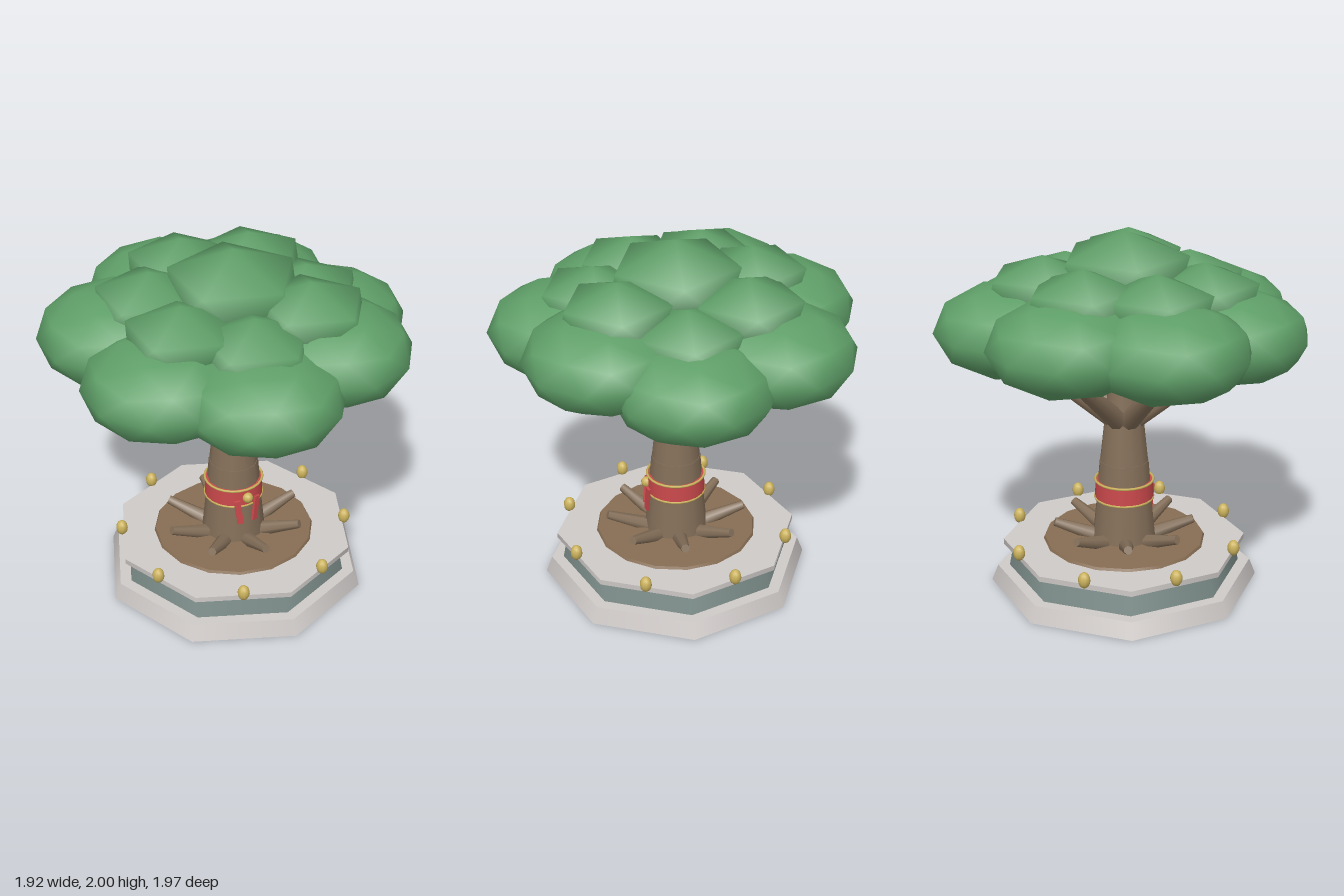
import * as THREE from 'three';

const mat = (name, color) => Object.assign(new THREE.MeshStandardMaterial({ color }), { name });

export function createModel() {
  const leaf = mat('leaf green', 0x5f9f68);
  const bark = mat('bark brown', 0x846f59);
  const soilMat = mat('soil brown', 0x876d53);
  const stone = mat('pale stone', 0xcfcac8);
  const stoneDark = mat('grey green stone', 0x7f908c);
  const red = mat('sash red', 0xc9484b);
  const gold = mat('gold', 0xcbb25c);

  const model = new THREE.Group();
  model.name = 'shrineTree';
  const tree = new THREE.Group();
  tree.name = 'tree';
  tree.position.set(-0.018, 0, -0.005);
  model.add(tree);

  const add = (name, geo, material, x = 0, y = 0, z = 0) => {
    const m = new THREE.Mesh(geo, material);
    m.name = name;
    m.position.set(x, y, z);
    tree.add(m);
    return m;
  };
  // upright tapered drum from y0 to y1
  const drum = (name, material, r0, r1, y0, y1, sides) =>
    add(name, new THREE.CylinderGeometry(r1, r0, y1 - y0, sides), material, 0, (y0 + y1) / 2, 0);
  // tapered limb between two points
  const limb = (name, a, b, ra, rb, sides) => {
    const dir = b.clone().sub(a);
    const m = add(name, new THREE.CylinderGeometry(rb, ra, dir.length(), sides), bark);
    m.position.copy(a).addScaledVector(dir, 0.5);
    m.quaternion.setFromUnitVectors(new THREE.Vector3(0, 1, 0), dir.normalize());
  };
  const polar = (angle, r, y) => new THREE.Vector3(r * Math.cos(angle), y, r * Math.sin(angle));

  // octagonal plinth
  drum('plinthBase', stone, 0.74, 0.705, 0, 0.09, 8);
  drum('plinthMiddle', stoneDark, 0.64, 0.615, 0.09, 0.222, 8);
  drum('plinthTop', stone, 0.67, 0.67, 0.22, 0.25, 8);
  drum('soil', soilMat, 0.45, 0.44, 0.245, 0.264, 16);

  // lanterns around the rim
  for (let i = 0; i < 8; i++) {
    const p = polar(Math.PI / 8 + i * Math.PI / 4, 0.63, 0.278);
    add('lantern', new THREE.SphereGeometry(0.033, 10, 8), gold, p.x, p.y, p.z).scale.y = 1.36;
  }

  // trunk sections
  drum('trunkLower', bark, 0.177, 0.154, 0.25, 0.48, 12);
  drum('trunkMiddle', bark, 0.158, 0.136, 0.46, 0.715, 12);
  drum('trunkUpper', bark, 0.134, 0.083, 0.71, 1.19, 12);

  // roots, tips lifted
  for (let i = 0; i < 8; i++) {
    const a = i * Math.PI / 4;
    limb('root', polar(a, 0.13, 0.255), polar(a, 0.385, 0.348), 0.045, 0.024, 7);
  }

  // sash, its gold cords, knot and tails
  drum('sash', red, 0.162, 0.158, 0.5, 0.6, 20);
  for (const y of [0.497, 0.6]) {
    add('sashCord', new THREE.TorusGeometry(0.16, 0.007, 6, 24), gold, 0, y, 0).rotation.x = Math.PI / 2;
  }
  add('sashKnot', new THREE.SphereGeometry(0.03, 10, 8), gold, 0.003, 0.55, 0.165);
  for (const s of [-1, 1]) {
    const tail = add('sashTail', new THREE.BoxGeometry(0.036, 0.15, 0.014), red, s * 0.052, 0.468, 0.165);
    tail.rotation.set(0, s * 0.35, -s * 0.14);
  }

  // icosahedron-based leaf clump with a corner pointing up and smooth normals
  const clumpGeo = (detail) => {
    const g = new THREE.IcosahedronGeometry(1, detail);
    g.rotateZ(Math.atan2(1, (1 + Math.sqrt(5)) / 2));
    // fix the ring of five so that one corner faces +x
    const p = g.attributes.position;
    let best = 0;
    for (let i = 0; i < p.count; i++) {
      if (Math.abs(p.getY(i) - 0.4472) < 0.002) best = Math.atan2(p.getZ(i), p.getX(i));
    }
    g.rotateY(best);
    const n = g.attributes.normal;
    for (let i = 0; i < p.count; i++) n.setXYZ(i, p.getX(i), p.getY(i), p.getZ(i));
    return g;
  };
  const coarse = clumpGeo(0);
  const fine = clumpGeo(1);

  // seven branches, each carrying a lower and an upper clump
  const lower = [
    [0.57, 1.45, -0.01], [0.35, 1.53, 0.41], [-0.127, 1.47, 0.56], [-0.512, 1.48, 0.24],
    [-0.537, 1.52, -0.27], [-0.127, 1.53, -0.555], [0.353, 1.5, -0.465],
  ];
  const upperTop = [1.81, 1.905, 1.83, 1.86, 1.875, 1.895, 1.885];
  lower.forEach((c, i) => {
    const a = i * Math.PI * 2 / 7;
    limb('branch', polar(a, 0.05, 0.95), polar(a, 0.56, 1.35), 0.058, 0.034, 8);
    add('lowerLeafClump', fine, leaf, ...c).scale.set(0.428, 0.247, 0.428);
    const u = polar(a, 0.43, upperTop[i] - 0.19);
    add('upperLeafClump', coarse, leaf, u.x, u.y, u.z).scale.set(0.32, 0.19, 0.32);
  });
  add('crownLeafClump', coarse, leaf, 0, 1.765, 0).scale.set(0.385, 0.235, 0.385);

  return model;
}
